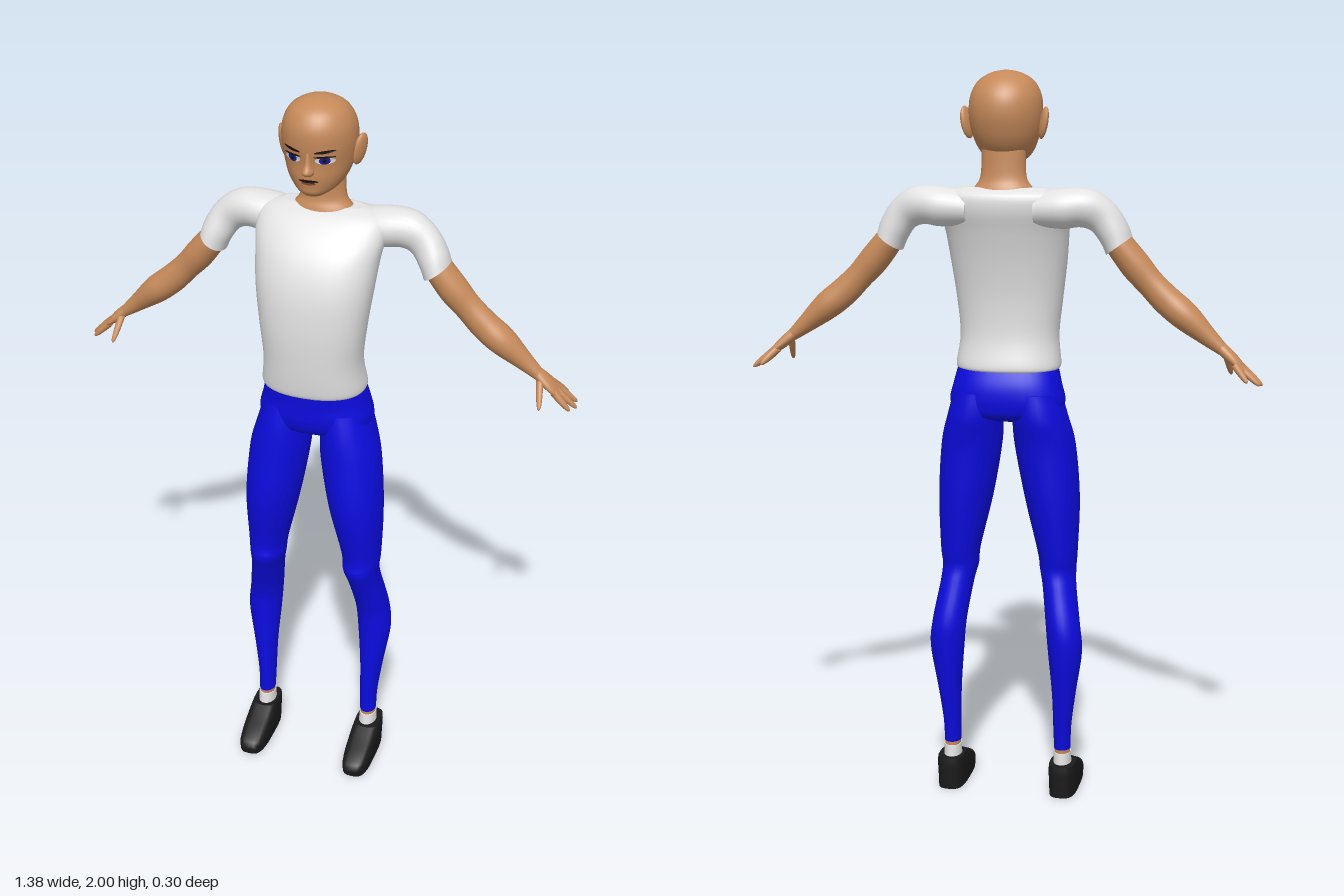
import * as THREE from 'three';

const mat = (name, color, side = THREE.FrontSide) => {
  const m = new THREE.MeshStandardMaterial({ color, side });
  m.name = name;
  return m;
};

// Smooth tube through rings [x, y, zFront, zBack, halfWidth, tilt in degrees], listed bottom to top.
// "square" below 1 makes the rings boxier; s = -1 mirrors the part.
function loft(rings, { s = 1, square = 1, steps = 5, segs = 28 } = {}) {
  const full = rings.map(r => [...r, 0].slice(0, 6));
  const n = full.length;
  const at = i => full[Math.min(n - 1, Math.max(0, i))];
  const pos = [], idx = [];
  const power = v => Math.sign(v) * Math.pow(Math.abs(v), square);
  const addRing = r => {
    const [x, y, zf, zb, a, tilt] = r, t = tilt * Math.PI / 180;
    for (let j = 0; j < segs; j++) {
      const th = j / segs * Math.PI * 2;
      const u = a * power(Math.cos(th)), v = (zf - zb) / 2 * power(Math.sin(th));
      pos.push(s * (x + u * Math.cos(t)), y + u * Math.sin(t), (zf + zb) / 2 + v);
    }
  };
  const tri = (a, b, c) => s > 0 ? idx.push(a, b, c) : idx.push(a, c, b);
  const total = (n - 1) * steps;
  for (let k = 0; k <= total; k++) {
    const i = Math.min(n - 2, Math.floor(k / steps)), t = k / steps - i;
    addRing(full[0].map((_, c) => {
      const p0 = at(i - 1)[c], p1 = at(i)[c], p2 = at(i + 1)[c], p3 = at(i + 2)[c];
      return 0.5 * (2 * p1 + (p2 - p0) * t + (2 * p0 - 5 * p1 + 4 * p2 - p3) * t * t
        + (3 * p1 - p0 - 3 * p2 + p3) * t * t * t);
    }));
  }
  for (let k = 0; k < total; k++) for (let j = 0; j < segs; j++) {
    const a = k * segs + j, b = k * segs + (j + 1) % segs;
    tri(a, a + segs, b);
    tri(b, a + segs, b + segs);
  }
  // flat end caps with their own vertices
  for (const [r, top] of [[full[0], false], [full[n - 1], true]]) {
    const base = pos.length / 3;
    addRing(r);
    pos.push(s * r[0], r[1], (r[2] + r[3]) / 2);
    for (let j = 0; j < segs; j++) {
      const a = base + j, b = base + (j + 1) % segs, c = base + segs;
      top ? tri(a, c, b) : tri(a, b, c);
    }
  }
  const g = new THREE.BufferGeometry();
  g.setAttribute('position', new THREE.Float32BufferAttribute(pos, 3));
  g.setIndex(idx);
  g.computeVertexNormals();
  return g;
}

export function createModel() {
  const skin = mat('skin', 0xc68a5a), cloth = mat('white cloth', 0xe2e2e2);
  const blue = mat('blue trousers', 0x0c0ce0), black = mat('black shoe', 0x1a1a1a);
  const eyeWhite = mat('eye white', 0xe8e8f0, THREE.DoubleSide);
  const iris = mat('iris blue', 0x1420a0, THREE.DoubleSide);
  const dark = mat('dark brow', 0x1c1210, THREE.DoubleSide);
  const lip = mat('lip', 0x8a4a34, THREE.DoubleSide);
  const model = new THREE.Group();
  model.name = 'standingFigure';
  const add = (name, geo, m) => {
    const mesh = new THREE.Mesh(geo, m);
    mesh.name = name;
    model.add(mesh);
    return mesh;
  };

  // Head, nose and neck
  const head = add('head', loft([
    [0, 1.757, 0.042, -0.01, 0.026], [0, 1.768, 0.053, -0.06, 0.047], [0, 1.785, 0.056, -0.092, 0.066],
    [0, 1.81, 0.06, -0.114, 0.08], [0, 1.845, 0.061, -0.13, 0.091], [0, 1.89, 0.069, -0.14, 0.097],
    [0, 1.935, 0.068, -0.134, 0.093], [0, 1.972, 0.048, -0.108, 0.073],
    [0, 1.993, 0.012, -0.07, 0.038], [0, 2, -0.028, -0.032, 0.002],
  ], { segs: 36 }), skin);
  add('nose', loft([
    [0, 1.816, 0.062, 0.04, 0.008], [0, 1.828, 0.084, 0.04, 0.016],
    [0, 1.85, 0.075, 0.04, 0.010], [0, 1.885, 0.067, 0.04, 0.007],
  ], { segs: 14 }), skin);
  add('neck', loft([
    [0, 1.67, -0.01, -0.125, 0.105], [0, 1.697, -0.018, -0.116, 0.08],
    [0, 1.73, -0.028, -0.104, 0.061], [0, 1.81, -0.025, -0.1, 0.059],
  ]), skin);

  // Face details: thin ellipses laid onto the surface of the head
  const ray = new THREE.Raycaster();
  head.updateMatrixWorld();
  const patch = (name, x, y, rx, ry, m, lift, tilt = 0) => {
    const g = new THREE.CircleGeometry(1, 20).scale(rx, ry, 1).rotateZ(tilt).translate(x, y, 0);
    const p = g.attributes.position;
    for (let i = 0; i < p.count; i++) {
      ray.set(new THREE.Vector3(p.getX(i), p.getY(i), 1), new THREE.Vector3(0, 0, -1));
      const hit = ray.intersectObject(head)[0];
      p.setZ(i, (hit ? hit.point.z : 0) + lift);
    }
    g.computeVertexNormals();
    add(name, g, m);
  };
  patch('mouth', 0, 1.804, 0.026, 0.004, dark, 0.003);
  patch('lowerLip', 0, 1.797, 0.019, 0.004, lip, 0.002);

  // Shirt body
  add('shirt', loft([
    [0, 1.21, 0.105, -0.098, 0.138], [0, 1.225, 0.112, -0.102, 0.142], [0, 1.3, 0.12, -0.085, 0.134],
    [0, 1.4, 0.124, -0.085, 0.144], [0, 1.5, 0.115, -0.1, 0.157], [0, 1.58, 0.088, -0.12, 0.166],
    [0, 1.64, 0.046, -0.138, 0.175], [0, 1.682, 0, -0.135, 0.165], [0, 1.7, -0.035, -0.105, 0.11],
  ], { square: 0.88, segs: 36 }), cloth);

  // Hips
  add('hips', loft([
    [0, 1.068, 0.03, -0.05, 0.06], [0, 1.085, 0.07, -0.095, 0.13], [0, 1.12, 0.084, -0.108, 0.157],
    [0, 1.17, 0.086, -0.108, 0.147], [0, 1.222, 0.09, -0.092, 0.134],
  ], { square: 0.85, segs: 36 }), blue);

  for (const s of [1, -1]) {
    const side = s > 0 ? 'left' : 'right';
    const part = (name, rings, m, opt = {}) => add(side + name, loft(rings, { s, ...opt }), m);

    // Eye, brow and ear
    patch(side + 'Eye', s * 0.042, 1.861, 0.023, 0.010, eyeWhite, 0.002);
    patch(side + 'Iris', s * 0.042, 1.861, 0.013, 0.010, iris, 0.003);
    patch(side + 'Pupil', s * 0.042, 1.861, 0.005, 0.006, dark, 0.004);
    patch(side + 'Lash', s * 0.042, 1.871, 0.025, 0.003, dark, 0.004);
    patch(side + 'Brow', s * 0.043, 1.885, 0.025, 0.004, dark, 0.003, s * 0.12);
    const ear = add(side + 'Ear', new THREE.SphereGeometry(1, 16, 12), skin);
    ear.scale.set(0.011, 0.043, 0.024);
    ear.position.set(s * 0.102, 1.865, -0.045);
    ear.rotation.set(-0.15, s * -0.4, s * -0.2);

    // Sleeve and arm
    part('Sleeve', [
      [0.308, 1.553, -0.012, -0.122, 0.041, 36], [0.295, 1.585, -0.02, -0.12, 0.043, 38],
      [0.266, 1.626, -0.035, -0.12, 0.046, 48], [0.222, 1.649, -0.03, -0.135, 0.052, 70],
      [0.16, 1.648, -0.022, -0.146, 0.053, 90], [0.09, 1.645, -0.03, -0.135, 0.045, 90],
    ], cloth);
    part('Arm', [
      [0.585, 1.29, -0.062, -0.1, 0.016, 48], [0.545, 1.323, -0.054, -0.105, 0.025, 48],
      [0.485, 1.374, -0.034, -0.116, 0.038, 48], [0.435, 1.415, -0.036, -0.11, 0.039, 48],
      [0.392, 1.458, -0.037, -0.107, 0.037, 47], [0.35, 1.505, -0.028, -0.112, 0.04, 42],
      [0.3, 1.568, -0.025, -0.115, 0.036, 38],
    ], skin);

    // Hand with spread fingers and thumb
    part('Palm', [
      [0.644, 1.241, -0.062, -0.122, 0.007, 48], [0.628, 1.254, -0.054, -0.123, 0.011, 48],
      [0.605, 1.274, -0.056, -0.112, 0.015, 48], [0.578, 1.297, -0.063, -0.1, 0.016, 48],
    ], skin, { segs: 16 });
    const digits = [
      // tip x, y, z, then root x, y, z
      [0.655, 1.217, -0.146, 0.618, 1.258, -0.114], [0.685, 1.206, -0.12, 0.632, 1.25, -0.105],
      [0.69, 1.202, -0.091, 0.634, 1.249, -0.086], [0.677, 1.206, -0.062, 0.63, 1.25, -0.068],
      [0.604, 1.216, -0.022, 0.592, 1.281, -0.068],
    ];
    digits.forEach(([tx, ty, tz, rx, ry, rz], i) => {
      const ring = (t, r) => {
        const z = tz + (rz - tz) * t;
        return [tx + (rx - tx) * t, ty + (ry - ty) * t, z + r, z - r, r, i === 4 ? 15 : 48];
      };
      part(i === 4 ? 'Thumb' : 'Finger' + (i + 1),
        [ring(0, 0.002), ring(0.12, 0.006), ring(0.5, 0.009), ring(1, 0.01)], skin, { segs: 10, steps: 3 });
    });

    // Trouser leg
    part('TrouserLeg', [
      [0.158, 0.133, 0.012, -0.047, 0.023], [0.158, 0.2, 0.012, -0.055, 0.025],
      [0.163, 0.3, 0.012, -0.07, 0.033], [0.167, 0.42, 0.012, -0.087, 0.047],
      [0.16, 0.5, 0.02, -0.09, 0.047], [0.145, 0.6, 0.055, -0.066, 0.046],
      [0.138, 0.65, 0.075, -0.055, 0.05], [0.137, 0.7, 0.073, -0.062, 0.055],
      [0.121, 0.85, 0.096, -0.08, 0.075], [0.102, 1, 0.091, -0.092, 0.083],
      [0.09, 1.08, 0.086, -0.107, 0.075], [0.08, 1.15, 0.075, -0.104, 0.065],
    ], blue);

    // Ankle, sock and shoe
    part('Ankle', [[0.158, 0.11, 0.01, -0.045, 0.022], [0.158, 0.14, 0.01, -0.045, 0.022]], skin, { steps: 1 });
    part('Sock', [[0.158, 0.07, 0.022, -0.055, 0.026], [0.158, 0.122, 0.014, -0.049, 0.024]], cloth, { steps: 1 });
    part('Shoe', [
      [0.16, 0, 0.15, -0.07, 0.039], [0.16, 0.028, 0.152, -0.071, 0.04], [0.16, 0.05, 0.12, -0.071, 0.04],
      [0.16, 0.072, 0.07, -0.071, 0.039], [0.16, 0.091, 0.03, -0.069, 0.036],
    ], black, { square: 0.6, steps: 3 });
  }
  return model;
}
